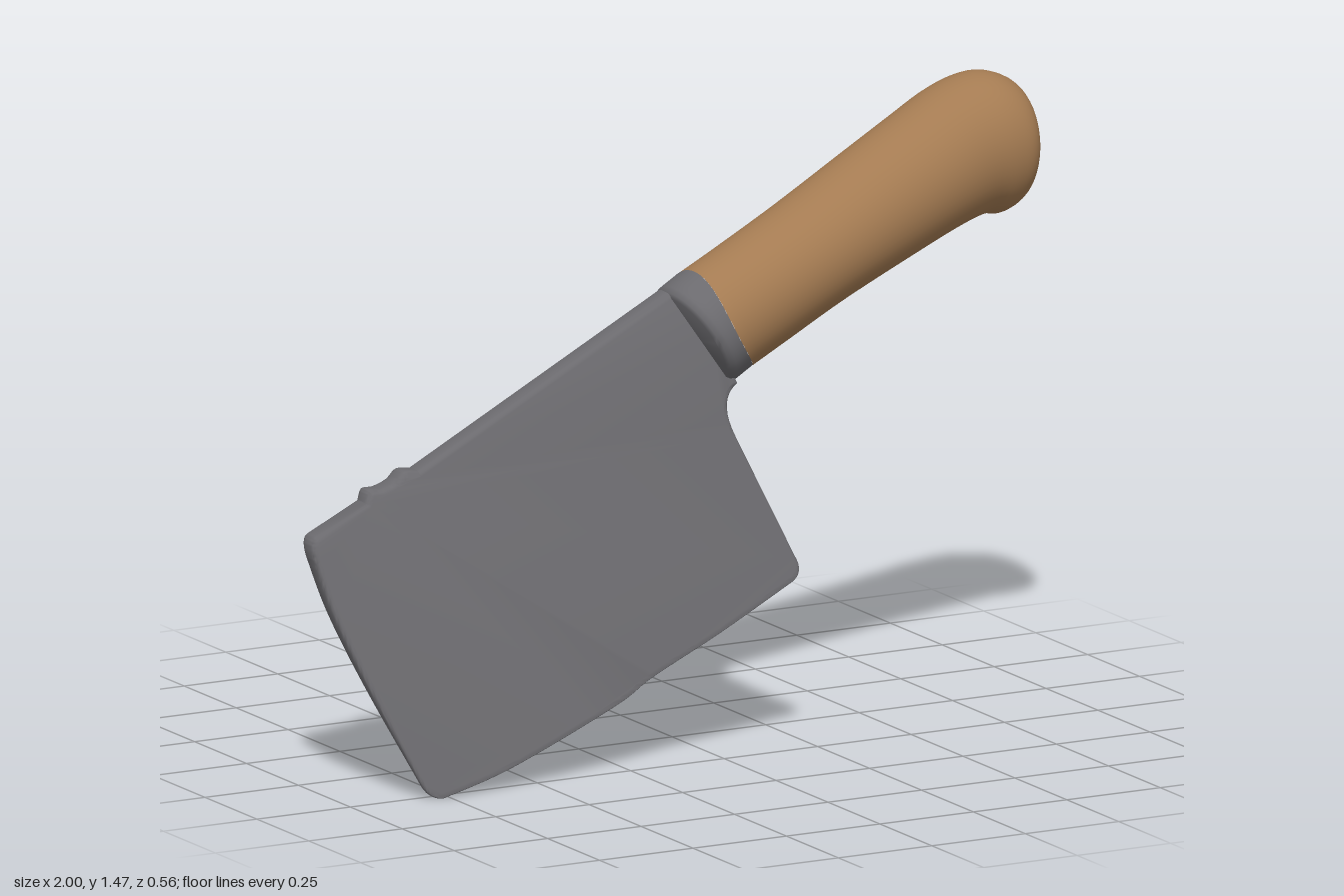
import * as THREE from 'three';
import { toCreasedNormals } from 'three/addons/utils/BufferGeometryUtils.js';

const SIDES = 48;

// How far the metal runs onto the wood at each angle (0 = top, -PI/2 = back)
function boundaryShift(t) {
  const bump = (at, width) => {
    const d = Math.atan2(Math.sin(t - at), Math.cos(t - at)) / width;
    return Math.exp(-d * d);
  };
  return 0.017 * Math.cos(2 * t) + 0.085 * bump(-1.1, 0.2) + 0.045 * bump(-1.9, 0.3);
}

// Skin over rings {p: centre, tilt, ru: radius up, rz: radius across, shift: share of boundary shift}
function loft(rings) {
  const pos = [], index = [];
  rings.forEach(({ p, tilt, ru, rz, shift = 0 }, i) => {
    for (let j = 0; j < SIDES; j++) {
      const t = (j / SIDES) * Math.PI * 2;
      const u = Math.cos(t) * ru, v = Math.sin(t) * rz, s = shift * boundaryShift(t);
      pos.push(
        p.x - Math.sin(tilt) * u + 0.08 * v + 0.88 * s,
        p.y + Math.cos(tilt) * u + 0.475 * s,
        p.z + v - 0.1 * s);
      if (i === 0) continue;
      const k = (j + 1) % SIDES, a = (i - 1) * SIDES, b = i * SIDES;
      index.push(a + j, a + k, b + j, a + k, b + k, b + j);
    }
  });
  const geo = new THREE.BufferGeometry();
  geo.setAttribute('position', new THREE.Float32BufferAttribute(pos, 3));
  geo.setIndex(index);
  geo.computeVertexNormals();
  return geo;
}

// Blade: bevelled outline, laid on a leaning plane and thinned toward the cutting edge
function bladeGeometry() {
  const v = (list) => list.map(([x, y]) => new THREE.Vector2(x, y));
  const s = new THREE.Shape();
  s.moveTo(-0.985, 0.61);
  s.quadraticCurveTo(-1.003, 0.6, -0.998, 0.56);
  s.splineThru(v([[-0.97, 0.43], [-0.91, 0.26], [-0.815, 0.035]]));
  s.quadraticCurveTo(-0.8, 0, -0.765, 0.003);
  s.splineThru(v([[-0.58, 0.055], [-0.3, 0.165], [-0.19, 0.222], [0.0, 0.305], [0.2, 0.4]]));
  s.quadraticCurveTo(0.232, 0.42, 0.215, 0.455);
  s.lineTo(0.112, 0.74);
  s.quadraticCurveTo(0.085, 0.82, 0.14, 0.85);
  s.lineTo(0.1, 0.97);
  s.lineTo(0.03, 1.06);
  s.lineTo(0.0, 1.065);
  // spine with two small nicks
  s.lineTo(-0.7, 0.732);
  s.splineThru(v([[-0.735, 0.733], [-0.765, 0.712], [-0.8, 0.7], [-0.83, 0.697], [-0.845, 0.672]]));
  s.closePath();
  const bevel = 0.012;
  const geo = new THREE.ExtrudeGeometry(s, {
    depth: 1, bevelEnabled: true, bevelSize: bevel, bevelOffset: -bevel,
    bevelThickness: 0.5, bevelSegments: 3, curveSegments: 10,
  });
  const p = geo.attributes.position;
  for (let i = 0; i < p.count; i++) {
    const x = p.getX(i), y = p.getY(i);
    const rise = (-0.38 * x + 0.925 * y - 0.305) / 0.65;
    const half = 0.009 + 0.021 * THREE.MathUtils.clamp(rise, 0, 1);
    const mid = 0.275 + 0.09 * (x + 0.78) - 0.365 * y;
    p.setZ(i, mid + (p.getZ(i) - 0.5) * half);
  }
  return toCreasedNormals(geo, 0.7);
}

export function createModel() {
  const metal = new THREE.MeshStandardMaterial({ color: 0x6b6a6e });
  metal.name = 'steel grey';
  const wood = new THREE.MeshStandardMaterial({ color: 0xa47b52 });
  wood.name = 'wood brown';

  const group = new THREE.Group();
  group.name = 'cleaver';
  const add = (name, geo, mat) => {
    const mesh = new THREE.Mesh(geo, mat);
    mesh.name = name;
    group.add(mesh);
  };

  add('blade', bladeGeometry(), metal);

  // Collar: closed metal ring around the root of the handle
  const collarAt = (s, r, shift = 0) => ({
    p: new THREE.Vector3(0.06 + 0.88 * s, 0.948 + 0.475 * s, -0.02 - 0.1 * s),
    tilt: 0.5, ru: r, rz: r, shift,
  });
  add('collar', toCreasedNormals(loft([
    collarAt(0, 0.001), collarAt(0, 0.122), collarAt(0.006, 0.131), collarAt(0.02, 0.136),
    collarAt(0.035, 0.136, 0.3), collarAt(0.07, 0.136, 1),
  ]), 0.8), metal);

  // Handle: centre x, y, z, then tilt, radius up, radius across
  const stations = [
    [0.122, 0.981, -0.027, 0.5, 0.136, 0.136],
    [0.236, 1.034, -0.04, 0.48, 0.135, 0.137],
    [0.4, 1.11, -0.06, 0.47, 0.135, 0.14],
    [0.6, 1.2, -0.085, 0.47, 0.145, 0.143],
    [0.74, 1.26, -0.105, 0.42, 0.153, 0.148],
    [0.83, 1.293, -0.12, 0.28, 0.163, 0.153],
    [0.9, 1.303, -0.126, 0.1, 0.172, 0.157],
    [0.95, 1.302, -0.127, 0, 0.157, 0.147],
    [0.98, 1.295, -0.127, -0.05, 0.128, 0.118],
    [0.995, 1.288, -0.127, -0.03, 0.075, 0.068],
    [0.999, 1.285, -0.127, 0, 0.001, 0.001],
  ];
  const curve = (from) => new THREE.CatmullRomCurve3(
    stations.map((s) => new THREE.Vector3(...s.slice(from, from + 3))), false, 'catmullrom');
  const centres = curve(0), sections = curve(3);
  const steps = (stations.length - 1) * 5;
  const rings = [];
  for (let i = 0; i <= steps; i++) {
    const c = sections.getPoint(i / steps);
    rings.push({
      p: centres.getPoint(i / steps), tilt: c.x, ru: c.y, rz: c.z,
      shift: Math.max(0, 1 - i / 5),
    });
  }
  add('handle', loft(rings), wood);

  return group;
}
